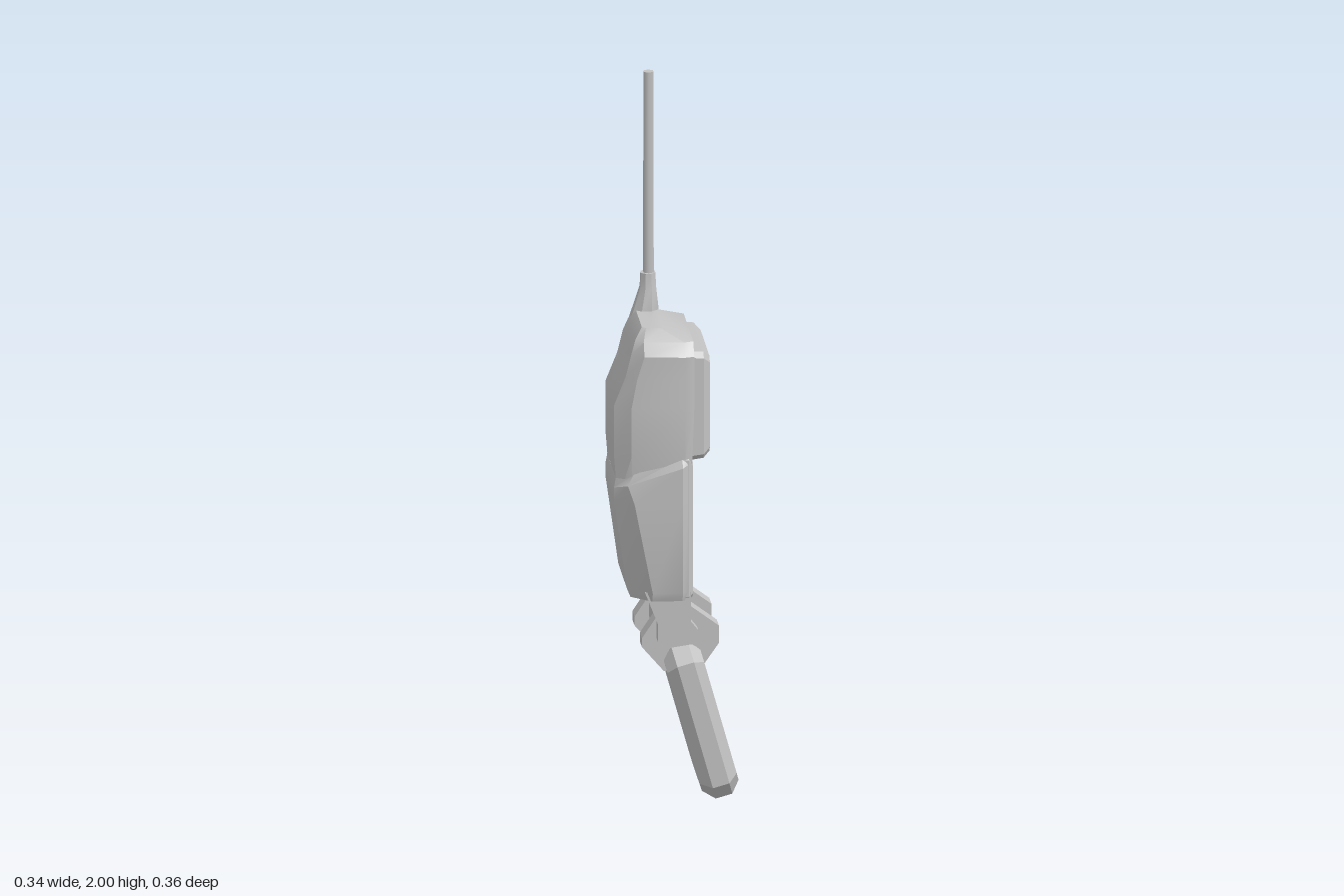
import * as THREE from 'three';
import { toCreasedNormals } from 'three/addons/utils/BufferGeometryUtils.js';

const grey = new THREE.MeshStandardMaterial({ color: 0xc2c2c2 });
grey.name = 'light grey plastic';

// Skin a list of equal-length rings and cap both ends.
function loft(rings, crease = 0.45) {
  const pos = [];
  const tri = (a, b, c) => pos.push(...a, ...b, ...c);
  const centre = (r) => [0, 1, 2].map((k) => r.reduce((s, p) => s + p[k], 0) / r.length);
  const n = rings[0].length;
  const first = rings[0], last = rings[rings.length - 1];
  const c0 = centre(first), c1 = centre(last);
  for (let j = 0; j < n; j++) {
    const k = (j + 1) % n;
    for (let i = 0; i < rings.length - 1; i++) {
      const a = rings[i], b = rings[i + 1];
      tri(a[j], a[k], b[k]);
      tri(a[j], b[k], b[j]);
    }
    tri(c0, first[k], first[j]);
    tri(c1, last[j], last[k]);
  }
  const g = new THREE.BufferGeometry();
  g.setAttribute('position', new THREE.Float32BufferAttribute(pos, 3));
  return toCreasedNormals(g, crease);
}

// Horizontal eight-sided section: flat back and front joined by chamfers.
function section(y, { xb, xf, zb, zf, xc, wc, xm, w, tilt = 0 }) {
  return [[xf, zf], [xf, -zf], [xm, -w], [xc, -wc], [xb, -zb], [xb, zb], [xc, wc], [xm, w]]
    .map(([x, z]) => [x, y + tilt * x, z]);
}

// Upright rectangle facing +x with cut corners.
function plate(x, hz, y0, y1, c) {
  return [[hz, y0 + c], [hz, y1 - c], [hz - c, y1], [c - hz, y1],
    [-hz, y1 - c], [-hz, y0 + c], [c - hz, y0], [hz - c, y0]]
    .map(([u, y]) => [x, y, -u]);
}

// Side profile pulled along z, centred on z.
function slab(points, width, z = 0) {
  const shape = new THREE.Shape(points.map(([x, y]) => new THREE.Vector2(x, y)));
  const g = new THREE.ExtrudeGeometry(shape, { depth: width, bevelEnabled: false });
  return g.translate(0, 0, z - width / 2);
}

export function createModel() {
  const model = new THREE.Group();
  model.name = 'flipPhone';
  const add = (name, geometry) => {
    const mesh = new THREE.Mesh(geometry, grey);
    mesh.name = name;
    model.add(mesh);
    return mesh;
  };

  // Upper body with sloped crown
  const upper = { xb: -0.17, xf: 0.045, zb: 0.115, zf: 0.158, xc: -0.125, wc: 0.148, xm: 0.02, w: 0.165 };
  add('upperBody', loft([
    section(0.85, { ...upper, xb: -0.16, xc: -0.12, xf: 0.03, wc: 0.14, w: 0.155 }),
    section(0.98, { ...upper, xf: 0.04 }),
    section(1.12, upper),
    section(1.2, { ...upper, xb: -0.138, xc: -0.11 }),
    section(1.265, { ...upper, xb: -0.122, xc: -0.09, wc: 0.15 }),
    section(1.3, { ...upper, xb: -0.11, xc: -0.09, wc: 0.128, zb: 0.1, w: 0.138, zf: 0.128 }),
    section(1.328, { ...upper, xb: -0.09, xc: -0.08, wc: 0.085, zb: 0.075, xm: -0.04, w: 0.09, xf: -0.032, zf: 0.085 }),
  ]));

  // Lower shell, stepping out under a slanted shoulder
  const lower = { xb: -0.17, xf: 0.028, zb: 0.115, zf: 0.165, xc: -0.12, wc: 0.155, xm: 0.012, w: 0.18 };
  add('lowerShell', loft([
    section(0.575, { ...lower, xb: -0.125, xc: -0.07, wc: 0.166, w: 0.168, zf: 0.155 }),
    section(0.6, { ...lower, xb: -0.135, xc: -0.07, wc: 0.175, w: 0.177 }),
    section(0.85, { ...lower, xc: -0.118, wc: 0.16 }),
    section(0.95, { ...lower, xc: -0.135, wc: 0.15, tilt: 0.37 }),
    section(0.975, { ...lower, xb: -0.165, xc: -0.12, wc: 0.146, w: 0.16, zf: 0.15, tilt: 0.37 }),
  ]));

  // Keypad bezel with shallow recess
  add('keypadPanel', loft([
    plate(0.015, 0.165, 0.572, 0.985, 0.012),
    plate(0.03, 0.165, 0.572, 0.985, 0.012),
    plate(0.042, 0.155, 0.58, 0.965, 0.012),
    plate(0.042, 0.138, 0.588, 0.9, 0.003),
    plate(0.031, 0.136, 0.59, 0.898, 0.003),
  ], 0.3));

  // Screen frame with sloped recess
  add('screenFrame', loft([
    plate(0.03, 0.152, 0.965, 1.275, 0.015),
    plate(0.072, 0.15, 0.97, 1.272, 0.015),
    plate(0.09, 0.134, 0.985, 1.255, 0.015),
    plate(0.09, 0.118, 1.0, 1.24, 0.004),
    plate(0.056, 0.102, 1.022, 1.2, 0.003),
  ], 0.3));

  // Neck and hinge
  add('neck', slab([[-0.09, 0.6], [-0.055, 0.51], [-0.055, 0.46], [-0.03, 0.44], [0.04, 0.45],
    [0.055, 0.49], [0.035, 0.515], [0.035, 0.6]], 0.325));
  for (const z of [-0.1, 0.1]) {
    add('hingeClaw', slab([[-0.035, 0.365], [0.07, 0.375], [0.115, 0.44], [0.115, 0.49],
      [0.035, 0.55], [-0.055, 0.52], [-0.095, 0.46], [-0.095, 0.435]], 0.055, z));
  }

  // Opened flip cover
  const flip = add('flipCover', loft([
    plate(-0.052, 0.155, 0.03, 0.42, 0.03),
    plate(-0.022, 0.178, 0, 0.45, 0.045),
    plate(0.025, 0.178, 0, 0.45, 0.045),
    plate(0.052, 0.155, 0.03, 0.42, 0.03),
  ]));
  flip.position.set(0.127, 0.006, 0);
  flip.rotation.z = 0.272;

  // Antenna boot flowing down the back, and rod
  const boot = (y, xb, xf, h) => section(y, {
    xb, xf, zb: h * 0.5, zf: h * 0.5, xc: xb + (xf - xb) * 0.3, wc: h, xm: xb + (xf - xb) * 0.7, w: h,
  });
  add('antennaBoot', loft([
    boot(1.15, -0.156, -0.09, 0.01),
    boot(1.25, -0.122, -0.04, 0.032),
    boot(1.33, -0.095, -0.028, 0.036),
    boot(1.39, -0.077, -0.034, 0.022),
    boot(1.43, -0.075, -0.036, 0.02),
  ])).position.z = -0.102;
  const rod = new THREE.CylinderGeometry(0.015, 0.016, 0.6, 6);
  add('antennaRod', rod).position.set(-0.054, 1.7, -0.102);

  return model;
}
